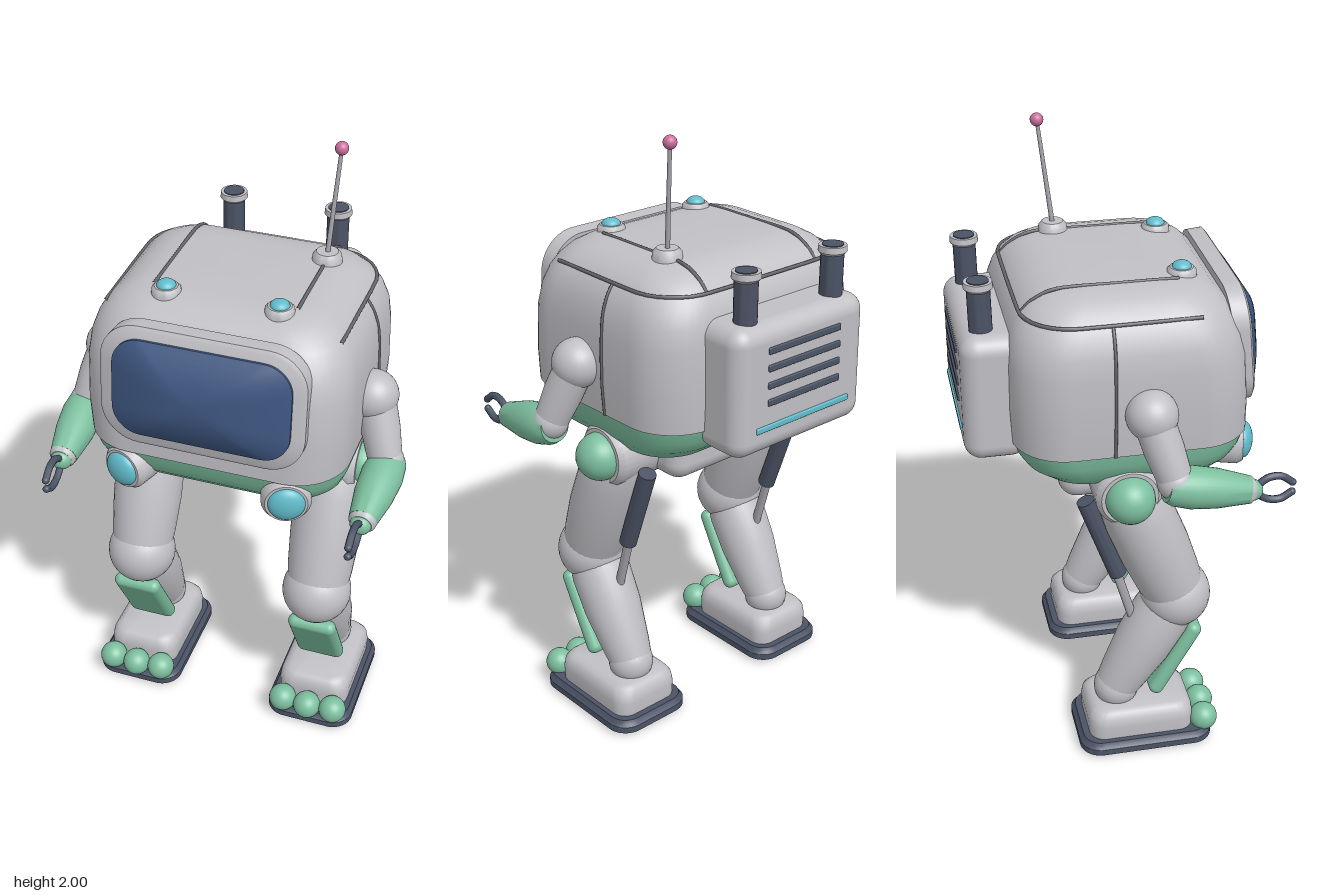
import * as THREE from 'three';
import { toCreasedNormals } from 'three/addons/utils/BufferGeometryUtils.js';
import { RoundedBoxGeometry } from 'three/addons/geometries/RoundedBoxGeometry.js';

const paint = (name, color) => Object.assign(new THREE.MeshStandardMaterial({ color }), { name });
const V = (x, y, z) => new THREE.Vector3(x, y, z);

// Rounded rectangle in the xz plane, from half width, front z, back z and corner radius
function outline(hx, zF, zB, r, steps = 10) {
  const pts = [];
  [[1, 1], [-1, 1], [-1, -1], [1, -1]].forEach(([sx, sz], q) => {
    for (let i = 0; i <= steps; i++) {
      const a = (q + i / steps) * Math.PI / 2;
      pts.push([sx * (hx - r) + r * Math.cos(a), (sz > 0 ? zF - r : zB + r) + r * Math.sin(a)]);
    }
  });
  return pts;
}

// Closed skin over stacked outlines: rows of [y, halfWidth, frontZ, backZ, radius]
function loft(rows, crease = 0.6) {
  const pos = [], idx = [];
  const n = outline(1, 1, -1, 0.1).length;
  rows.forEach(([y, ...o]) => outline(...o).forEach(([x, z]) => pos.push(x, y, z)));
  for (let k = 0; k < rows.length - 1; k++)
    for (let i = 0; i < n; i++) {
      const a = k * n + i, b = k * n + (i + 1) % n;
      idx.push(a, a + n, b, b, a + n, b + n);
    }
  const last = (rows.length - 1) * n, c = rows.length * n;
  for (const row of [rows[0], rows[rows.length - 1]]) pos.push(0, row[0], (row[2] + row[3]) / 2);
  for (let i = 0; i < n; i++) {
    const j = (i + 1) % n;
    idx.push(c, i, j, c + 1, last + j, last + i);
  }
  const g = new THREE.BufferGeometry();
  g.setAttribute('position', new THREE.Float32BufferAttribute(pos, 3));
  g.setIndex(idx);
  return toCreasedNormals(g, crease);
}

export function createModel() {
  const root = new THREE.Group();
  root.name = 'walkerRobot';
  const grey = paint('light grey shell', 0xc0c0c5);
  const green = paint('mint green', 0x7dbf9f);
  const navy = paint('navy visor', 0x3d5680);
  const dark = paint('dark slate', 0x4b5365);
  const teal = paint('teal lamp', 0x62bccc);
  const pink = paint('pink tip', 0xcb6f9c);
  const seam = paint('seam grey', 0x66666b);
  const steel = paint('steel', 0xa6a6ac);

  const add = (name, geo, mat, p = [0, 0, 0], rot = [0, 0, 0]) => {
    const m = new THREE.Mesh(geo, mat);
    m.name = name;
    m.position.set(...p);
    m.rotation.set(...rot);
    root.add(m);
    return m;
  };
  const ball = (name, mat, r, p) => add(name, new THREE.SphereGeometry(r, 32, 20), mat, p);
  const box = (name, mat, w, h, d, r, p, rot) => add(name, new RoundedBoxGeometry(w, h, d, 5, r), mat, p, rot);
  // Turned part running from a to b; profile rows are [fraction of length, radius]
  const limb = (name, mat, a, b, profile) => {
    const dir = V(...b).sub(V(...a)), len = dir.length();
    const ends = [[profile[0][0], 0], ...profile, [profile[profile.length - 1][0], 0]];
    const g = new THREE.LatheGeometry(ends.map(([t, r]) => new THREE.Vector2(r, t * len)), 32);
    const m = add(name, toCreasedNormals(g, 0.7), mat, a);
    m.quaternion.setFromUnitVectors(V(0, 1, 0), dir.normalize());
    return m;
  };
  const tube = (name, mat, pts, r) =>
    add(name, new THREE.TubeGeometry(new THREE.CatmullRomCurve3(pts), 48, r, 8), mat);

  // Hull
  const hull = [
    [1.14, 0.418, 0.395, -0.342, 0.17], [1.25, 0.425, 0.392, -0.347, 0.17],
    [1.40, 0.422, 0.382, -0.346, 0.17], [1.47, 0.414, 0.366, -0.34, 0.17],
    [1.52, 0.397, 0.345, -0.324, 0.165], [1.555, 0.375, 0.322, -0.304, 0.155],
    [1.585, 0.345, 0.292, -0.275, 0.14], [1.607, 0.308, 0.255, -0.238, 0.12],
    [1.62, 0.265, 0.215, -0.195, 0.1], [1.624, 0.22, 0.17, -0.15, 0.08]];
  add('hull', loft(hull), grey);
  add('belly', loft([
    [0.985, 0.26, 0.22, -0.14, 0.1], [0.995, 0.31, 0.27, -0.19, 0.12], [1.02, 0.36, 0.32, -0.25, 0.14],
    [1.06, 0.393, 0.36, -0.3, 0.16], [1.1, 0.408, 0.38, -0.324, 0.165], [1.14, 0.414, 0.39, -0.337, 0.17]]), green);
  box('pelvis', grey, 0.5, 0.17, 0.38, 0.06, [0, 0.97, 0]);

  // Panel seams
  const [, ...shoulderRow] = hull[5];
  const loop = outline(...shoulderRow).filter(([, z]) => z < 0);
  tube('backSeam', seam, [V(-0.37, 1.557, 0.22), ...loop.map(([x, z]) => V(x, 1.557, z)), V(0.37, 1.557, 0.22)], 0.006);
  for (const s of [-1, 1]) {
    tube('sideSeam', seam, hull.slice(0, 6).map(([y, hx]) => V(s * hx, y, -0.05)), 0.005);
    tube('topSeam', seam, [V(s * 0.225, 1.622, 0.18), V(s * 0.225, 1.622, 0),
      ...hull.slice(5, 9).reverse().map(([y, , , zB]) => V(s * 0.225, y, zB + 0.004))], 0.006);
  }

  // Visor and its frame, leaning back
  const tilt = [Math.PI / 2 - 0.1, 0, 0];
  add('visorFrame', loft([[-0.06, 0.322, 0.198, -0.198, 0.12], [-0.008, 0.322, 0.198, -0.198, 0.12],
    [0, 0.31, 0.186, -0.186, 0.11]]), grey, [0, 1.395, 0.397], tilt);
  const dome = [[-0.01, 0.28, 0.16, -0.16, 0.09]];
  for (let i = 0; i <= 10; i++) {
    const k = Math.max(1 - i / 10, 0.02);
    dome.push([0.008 + 0.064 * (1 - k * k), 0.28 * k, 0.16 * k, -0.16 * k, 0.09 * k]);
  }
  add('visor', loft(dome), navy, [0, 1.395, 0.397], tilt);

  // Antenna
  limb('antennaBase', grey, [0.225, 1.61, -0.125], [0.225, 1.652, -0.125], [[0, 0.048], [0.7, 0.045], [1, 0.034]]);
  limb('antennaRod', steel, [0.225, 1.64, -0.125], [0.246, 1.98, -0.165], [[0, 0.008], [1, 0.006]]);
  ball('antennaTip', pink, 0.021, [0.246, 1.979, -0.165]);

  // Backpack with vents, light strip and exhausts
  box('backpack', grey, 0.54, 0.415, 0.2, 0.055, [0, 1.282, -0.385]);
  for (let i = 0; i < 4; i++) box('vent', dark, 0.3, 0.022, 0.012, 0.005, [0, 1.41 - i * 0.055, -0.485]);
  box('rearLightStrip', teal, 0.39, 0.02, 0.012, 0.005, [0, 1.165, -0.485]);

  for (const s of [-1, 1]) {
    const px = (x, y, z) => [s * x, y, z];
    limb('exhaustPipe', dark, px(0.178, 1.45, -0.412), px(0.178, 1.63, -0.415), [[0, 0.036], [1, 0.036]]);
    limb('exhaustCollar', grey, px(0.178, 1.618, -0.415), px(0.178, 1.645, -0.415), [[0, 0.038], [0.3, 0.045], [1, 0.043]]);
    limb('exhaustMouth', dark, px(0.178, 1.64, -0.415), px(0.178, 1.648, -0.415), [[0, 0.033], [1, 0.033]]);

    // Roof lamps and headlights
    limb('roofLampBase', grey, px(0.177, 1.61, 0.2), px(0.177, 1.638, 0.2), [[0, 0.046], [0.7, 0.044], [1, 0.036]]);
    ball('roofLamp', teal, 0.03, px(0.177, 1.637, 0.2)).scale.y = 0.65;
    limb('headlightHousing', grey, px(0.24, 1.067, 0.31), px(0.268, 1.067, 0.395), [[0, 0.078], [0.8, 0.078], [1, 0.066]]);
    const lens = ball('headlight', teal, 0.058, px(0.268, 1.067, 0.393));
    lens.scale.z = 0.5;
    lens.rotation.y = s * 0.32;

    // Arm
    ball('shoulder', grey, 0.08, px(0.437, 1.285, 0.055));
    limb('upperArm', grey, px(0.445, 1.28, 0.055), px(0.502, 1.09, 0.115), [[0, 0.062], [0.5, 0.062], [1, 0.054]]);
    ball('elbow', grey, 0.058, px(0.504, 1.088, 0.115));
    limb('forearm', green, px(0.51, 1.08, 0.085), px(0.494, 1.025, 0.345),
      [[0, 0.05], [0.08, 0.06], [0.3, 0.067], [0.6, 0.062], [1, 0.044]]);
    limb('wristCuff', grey, px(0.4955, 1.028, 0.328), px(0.494, 1.023, 0.362), [[0, 0.045], [0.7, 0.043], [1, 0.034]]);
    ball('hand', green, 0.034, px(0.493, 1.022, 0.358));
    for (const u of [-1, 1]) {
      tube('finger', dark, [V(s * 0.492, 1.02 + u * 0.012, 0.37), V(s * 0.491, 1.02 + u * 0.038, 0.41),
        V(s * 0.49, 1.018 + u * 0.04, 0.45), V(s * 0.489, 1.015 + u * 0.017, 0.487)], 0.012);
      ball('fingertip', dark, 0.012, px(0.489, 1.015 + u * 0.017, 0.487));
    }

    // Hip, thigh and knee
    limb('hipJoint', grey, px(0.22, 0.975, 0), px(0.4, 0.975, 0), [[0, 0.105], [0.9, 0.105], [1, 0.09]]);
    ball('hipCap', green, 0.078, px(0.402, 0.975, 0));
    limb('thigh', grey, px(0.316, 1.0, -0.01), px(0.314, 0.55, 0.17),
      [[0, 0.09], [0.06, 0.103], [0.3, 0.115], [0.6, 0.116], [0.85, 0.108], [1, 0.1]]);
    ball('knee', grey, 0.115, px(0.314, 0.54, 0.172));

    // Rear piston
    limb('pistonSleeve', dark, px(0.314, 0.93, -0.125), px(0.314, 0.64, -0.02), [[0, 0.029], [1, 0.029]]);
    limb('pistonRod', steel, px(0.314, 0.68, -0.035), px(0.314, 0.44, 0.035), [[0, 0.015], [1, 0.015]]);

    // Shin and foot
    limb('shin', grey, px(0.314, 0.53, 0.165), px(0.316, 0.18, -0.03),
      [[0, 0.09], [0.2, 0.1], [0.5, 0.097], [0.85, 0.08], [1, 0.07]]);
    box('shinGuard', green, 0.165, 0.3, 0.05, 0.024, px(0.316, 0.312, 0.162), [0.507, 0, 0]);
    ball('ankle', grey, 0.075, px(0.317, 0.185, -0.025));
    add('foot', loft([[0.045, 0.12, 0.22, -0.13, 0.05], [0.1, 0.124, 0.222, -0.133, 0.055], [0.13, 0.12, 0.218, -0.129, 0.055],
      [0.148, 0.107, 0.205, -0.116, 0.05], [0.155, 0.09, 0.188, -0.1, 0.04]]), grey, px(0.319, 0, 0));
    add('sole', loft([[0, 0.135, 0.27, -0.15, 0.06], [0.012, 0.15, 0.285, -0.165, 0.07], [0.034, 0.15, 0.285, -0.165, 0.07],
      [0.04, 0.143, 0.278, -0.158, 0.065], [0.054, 0.137, 0.272, -0.152, 0.06]]), dark, px(0.319, 0, 0));
    for (const t of [-1, 0, 1]) ball('toe', green, 0.047, px(0.319 + t * 0.09, 0.076, t ? 0.258 : 0.265));
  }
  return root;
}
